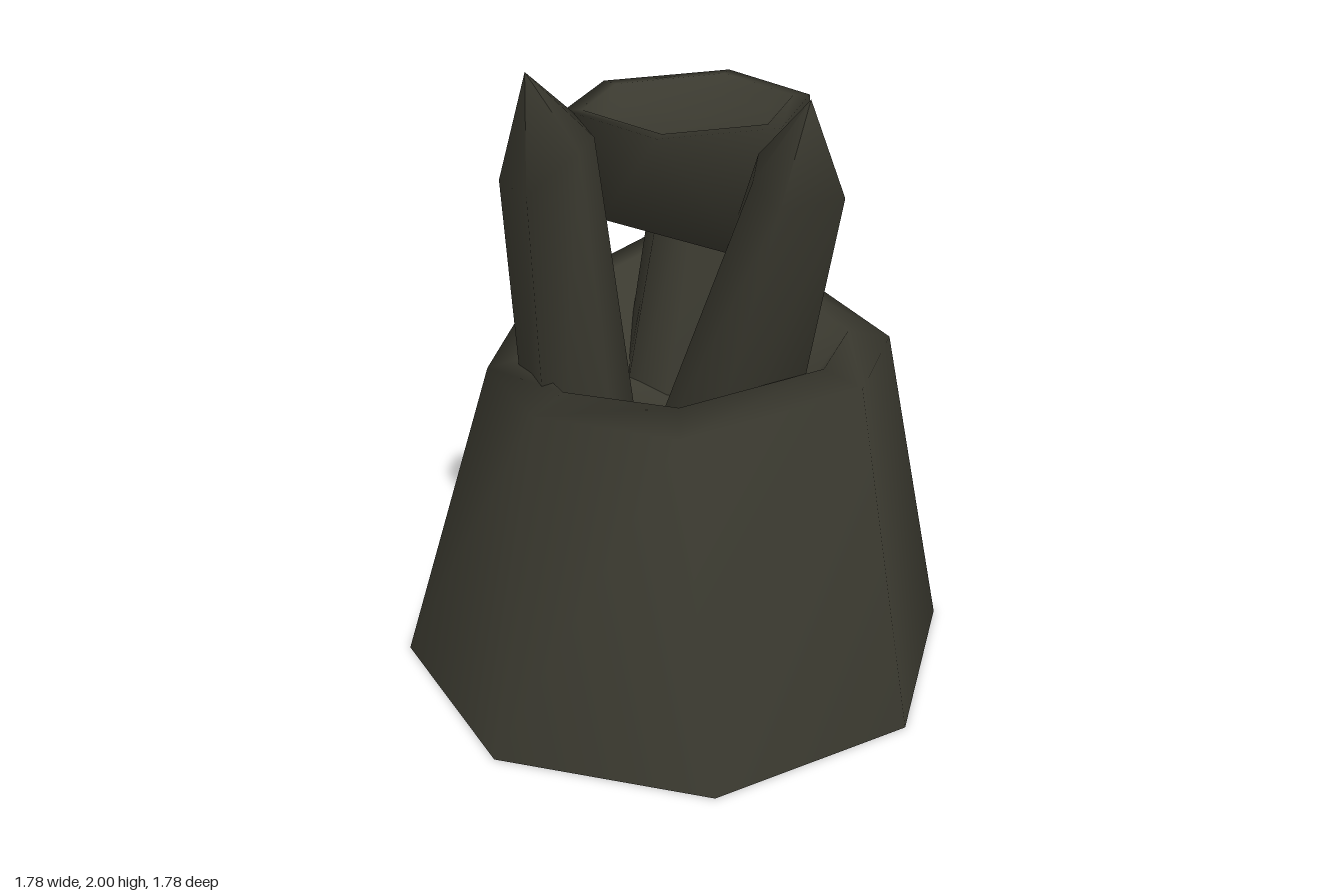
import * as THREE from 'three';

// Smooth skin over rings of [x, y, z] points, listed so that the skin faces outward.
function loft(rings) {
  const n = rings[0].length;
  const index = [];
  for (let r = 0; r < rings.length - 1; r++) {
    for (let i = 0; i < n; i++) {
      const j = (i + 1) % n;
      const a = r * n + i, b = r * n + j, c = a + n, d = b + n;
      index.push(a, c, b, c, d, b);
    }
  }
  const geometry = new THREE.BufferGeometry();
  geometry.setAttribute('position', new THREE.Float32BufferAttribute(rings.flat(2), 3));
  geometry.setIndex(index);
  geometry.computeVertexNormals();
  return geometry;
}

// Ring collapsed to the middle of another ring, to close a skin.
function middle(ring) {
  const centre = [0, 1, 2].map(k => ring.reduce((sum, p) => sum + p[k], 0) / ring.length);
  return ring.map(() => centre);
}

// Ring shrunk towards its middle and lowered.
function shrink(ring, scale, drop) {
  const [cx, , cz] = middle(ring)[0];
  return ring.map(([x, y, z]) => [cx + (x - cx) * scale, y - drop, cz + (z - cz) * scale]);
}

export function createModel() {
  const model = new THREE.Group();
  const stone = new THREE.MeshStandardMaterial({ color: 0x3b3a30, side: THREE.DoubleSide });
  stone.name = 'darkStone';

  function part(name, rings) {
    const mesh = new THREE.Mesh(loft(rings), stone);
    mesh.name = name;
    model.add(mesh);
  }

  // Eight-sided mound, open below, with an uneven rounded rim and a sunken crater
  const foot = Array.from({ length: 8 }, (_, i) => {
    const a = i * Math.PI / 4;
    return [0.89 * Math.cos(a), 0, 0.89 * Math.sin(a)];
  });
  const rim = [
    [0.69, 1.02, -0.04], [0.49, 1.07, 0.44], [-0.08, 1.07, 0.70], [-0.47, 1.04, 0.44],
    [-0.59, 1.00, 0.00], [-0.43, 1.06, -0.44], [-0.02, 1.18, -0.64], [0.44, 1.11, -0.46],
  ];
  const inset = (s, fy) => rim.map(([x, y, z]) => [x * s, fy(y), z * s]);
  part('mound', [
    foot,
    rim,
    inset(0.8, y => Math.min(y + 0.03, 1.18)),
    inset(0.6, () => 0.86),
    inset(0, () => 0.82),
  ]);

  // Leaning pointed posts: a many-sided base, slanted shoulders and an off-centre tip
  function post(name, tip, base, radius, shoulderPoints) {
    const [cx, , cz] = middle(shoulderPoints)[0];
    const angle = p => Math.atan2(p[2] - cz, p[0] - cx);
    const shoulder = [...shoulderPoints].sort((p, q) => angle(p) - angle(q));
    const bottom = shoulder.map(p => [
      base[0] + radius * Math.cos(angle(p)), base[1], base[2] + radius * Math.sin(angle(p)),
    ]);
    part(name, [middle(bottom), bottom, shoulder, shoulder.map(() => tip)]);
  }
  post('rightPost', [-0.45, 2.0, 0.29], [-0.28, 0.38, 0.04], 0.20, [
    [-0.53, 1.65, 0.14], [-0.46, 1.66, 0.33], [-0.31, 1.78, 0.33], [-0.26, 1.79, 0.22], [-0.31, 1.83, 0.10],
  ]);
  post('frontPost', [0.30, 1.95, 0.48], [0.05, 0.44, 0.08], 0.25, [
    [0.39, 1.69, 0.54], [0.20, 1.68, 0.60], [0.15, 1.72, 0.46], [0.18, 1.77, 0.37], [0.33, 1.75, 0.36],
  ]);
  post('backPost', [0.21, 1.79, -0.46], [-0.01, 0.40, -0.22], 0.22, [
    [0.00, 1.57, -0.46], [0.23, 1.50, -0.52], [0.37, 1.49, -0.37],
    [0.28, 1.60, -0.26], [0.12, 1.66, -0.24], [0.00, 1.52, -0.30],
  ]);

  // Tilted six-sided block held between the posts: shallow hollow on top, twisted underside
  const blockTop = [
    [0.39, 1.84, 0.03], [0.25, 1.83, 0.33], [-0.10, 1.82, 0.36],
    [-0.33, 1.81, 0.00], [-0.19, 1.82, -0.28], [0.20, 1.84, -0.29],
  ];
  const blockBottom = [
    [0.44, 1.41, -0.12], [0.39, 1.41, 0.14], [0.20, 1.41, 0.25],
    [-0.24, 1.52, 0.14], [-0.19, 1.48, -0.25], [0.12, 1.44, -0.19],
  ];
  const hollow = shrink(blockTop, 0.72, 0.05);
  part('block', [
    middle(blockBottom), blockBottom, blockTop, shrink(blockTop, 0.86, 0), hollow, middle(hollow),
  ]);

  return model;
}
